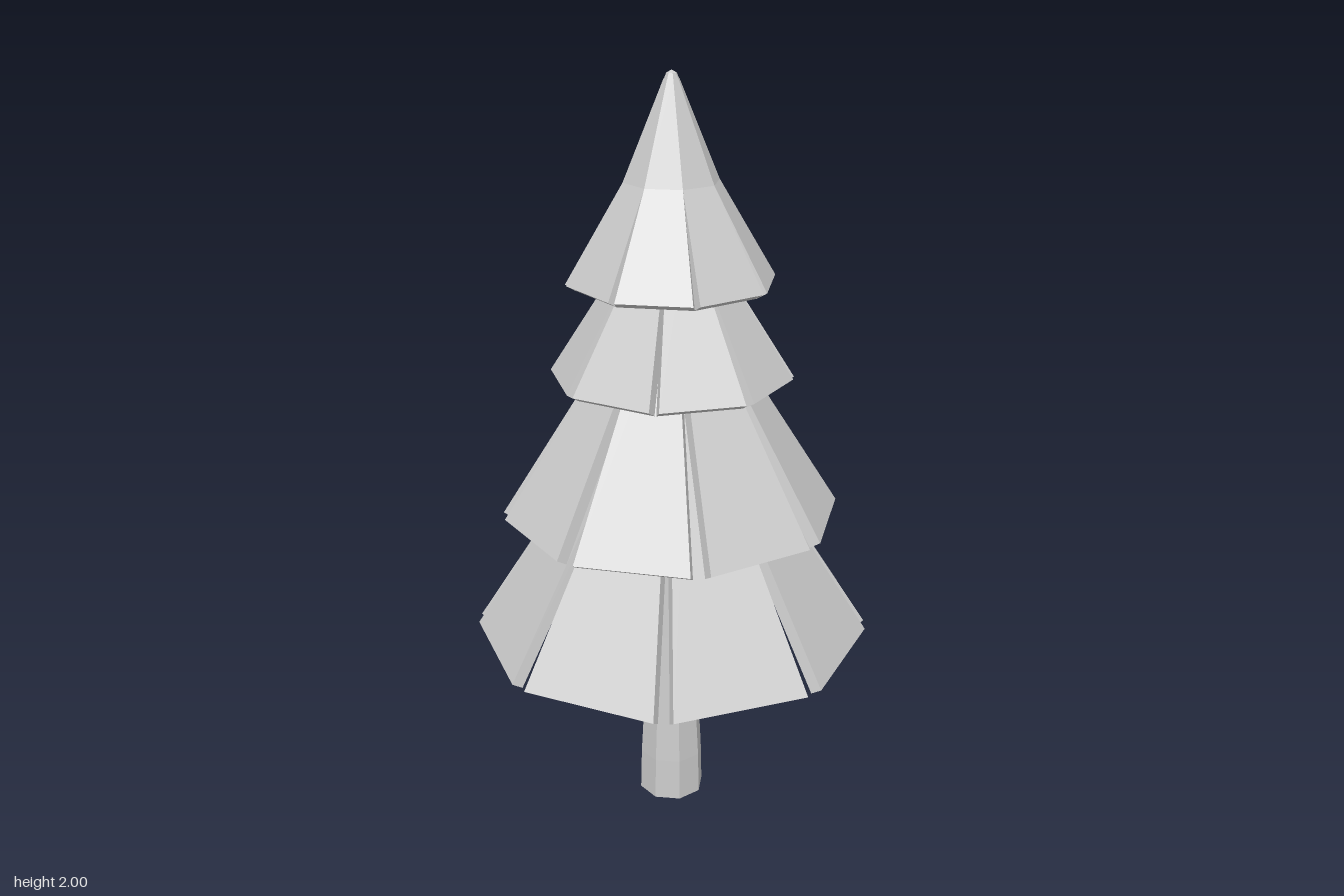
import * as THREE from 'three';

const material = new THREE.MeshStandardMaterial({ color: 0xcccccc, flatShading: true });
const SIDES = 8;
const THICK_IN = 0.026;   // plate thickness, inward part
const THICK_DOWN = 0.015; // plate thickness, downward part

// One thick tapered branch plate pointing to +x; rows are [radius, height, halfWidth] from bottom to top
function plateGeometry(rows) {
  const pos = [];
  const quad = (a, b, c, d) => pos.push(...a, ...b, ...c, ...a, ...c, ...d);
  const loops = rows.map(([r, y, w]) => {
    const ri = Math.max(r - THICK_IN, 0.003), yi = y - THICK_DOWN;
    return [[r, y, w], [r, y, -w], [ri, yi, -w], [ri, yi, w]];
  });
  for (let k = 0; k < loops.length - 1; k++) {
    const b = loops[k], t = loops[k + 1];
    for (let i = 0; i < 4; i++) {
      const j = (i + 1) % 4;
      quad(b[i], b[j], t[j], t[i]);
    }
  }
  const first = loops[0], last = loops[loops.length - 1];
  quad(first[3], first[2], first[1], first[0]);
  quad(...last);
  const geometry = new THREE.BufferGeometry();
  geometry.setAttribute('position', new THREE.Float32BufferAttribute(pos, 3));
  geometry.computeVertexNormals();
  return geometry;
}

// Ring of plates around the trunk
function branchTier(name, rows, startDegrees) {
  const tier = new THREE.Group();
  tier.name = name;
  const geometry = plateGeometry(rows);
  for (let i = 0; i < SIDES; i++) {
    const plate = new THREE.Mesh(geometry, material);
    plate.name = 'branchPlate';
    plate.rotation.y = -THREE.MathUtils.degToRad(startDegrees + (i * 360) / SIDES);
    tier.add(plate);
  }
  return tier;
}

function lathe(name, points, startDegrees) {
  const geometry = new THREE.LatheGeometry(
    points.map(([r, y]) => new THREE.Vector2(r, y)), SIDES, THREE.MathUtils.degToRad(startDegrees));
  const mesh = new THREE.Mesh(geometry, material);
  mesh.name = name;
  return mesh;
}

export function createModel() {
  const tree = new THREE.Group();
  tree.name = 'pineTree';

  // Trunk with a slightly straighter foot, tapering up inside the branches
  tree.add(lathe('trunk', [[0, 0], [0.09, 0], [0.087, 0.12], [0.066, 0.5], [0.03, 1.5], [0, 1.5]], 17));

  // Three lower tiers: bottom radius, bottom height, half width, turn
  const full = Math.tan(Math.PI / SIDES);
  const tiers = [
    ['lowerBranches', 0.498, 0.52, 0.18, 22.5],
    ['middleBranches', 0.42, 0.868, 0.147, 11.25],
    ['upperBranches', 0.295, 1.24, 0.109, 28],
  ];
  for (const [name, r, y, w, turn] of tiers) {
    const top = 0.06;
    tree.add(branchTier(name, [[r, y, w], [top, y + (r - top) / 0.6, top * full]], turn));
  }

  // Crown tier bends to a steeper slope near the top
  tree.add(branchTier('crownBranches', [
    [0.252, 1.487, 0.095], [0.113, 1.735, 0.113 * full], [0.018, 1.98, 0.018 * full],
  ], 7.5));

  // Blunt tip
  tree.add(lathe('tip', [[0, 1.96], [0.022, 1.972], [0.013, 1.993], [0, 2]], 15));
  return tree;
}
